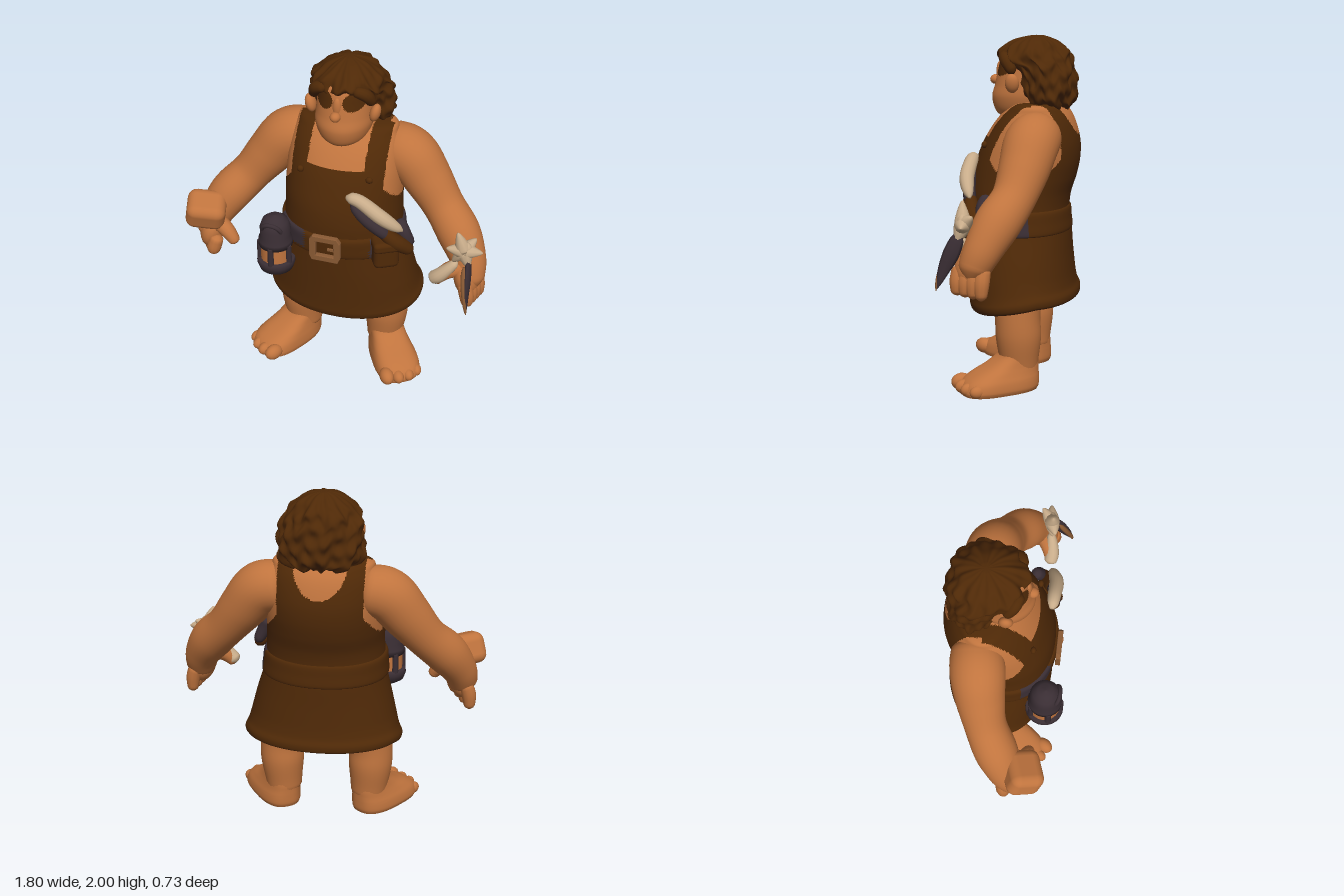
import * as THREE from 'three';
import { toCreasedNormals } from 'three/addons/utils/BufferGeometryUtils.js';
import { RoundedBoxGeometry } from 'three/addons/geometries/RoundedBoxGeometry.js';

const CX = 0.02; // body centre line

function makeMaterial(name, hex, double) {
  const m = new THREE.MeshStandardMaterial({ color: hex });
  m.name = name;
  if (double) m.side = THREE.DoubleSide;
  return m;
}

// Closed skin over rings of points; paint(centre) picks a material index per face
function skinRings(rings, paint = () => 0) {
  const n = rings[0].length, pts = rings.flat(), lists = [[], []];
  const mean = ring => ring.reduce((a, p) => a.add(p), new THREE.Vector3()).divideScalar(n);
  const first = pts.push(mean(rings[0])) - 1;
  const last = pts.push(mean(rings[rings.length - 1])) - 1;
  const c = new THREE.Vector3();
  const tri = (i, j, k) => {
    c.copy(pts[i]).add(pts[j]).add(pts[k]).divideScalar(3);
    lists[paint(c)].push(i, j, k);
  };
  const top = (rings.length - 1) * n;
  for (let j = 0; j < n; j++) {
    const k = (j + 1) % n;
    tri(first, j, k);
    for (let i = 0; i < top; i += n) {
      tri(i + j, i + n + j, i + k);
      tri(i + k, i + n + j, i + n + k);
    }
    tri(last, top + k, top + j);
  }
  const g = new THREE.BufferGeometry().setFromPoints(pts);
  g.setIndex(lists.flat());
  g.addGroup(0, lists[0].length, 0);
  g.addGroup(lists[0].length, lists[1].length, 1);
  g.computeVertexNormals();
  return g;
}

// Smooth stack of superellipses given as [y, x0, x1, z0, z1]
function loft(sections, { rows = 40, n = 48, power = 2, move, paint } = {}) {
  const cx = new THREE.CatmullRomCurve3(sections.map(s => new THREE.Vector3(s[1], s[0], s[2])), false, 'catmullrom');
  const cz = new THREE.CatmullRomCurve3(sections.map(s => new THREE.Vector3(s[3], s[0], s[4])), false, 'catmullrom');
  const bend = v => Math.sign(v) * Math.abs(v) ** (2 / power);
  const rings = [];
  for (let i = 0; i <= rows; i++) {
    const a = cx.getPoint(i / rows), b = cz.getPoint(i / rows), ring = [];
    for (let j = 0; j < n; j++) {
      const t = j / n * Math.PI * 2, u = bend(Math.cos(t)), w = bend(Math.sin(t));
      const p = new THREE.Vector3((a.x + a.z) / 2 + u * (a.z - a.x) / 2, a.y, (b.x + b.z) / 2 + w * (b.z - b.x) / 2);
      if (move) move(p, t, u, w);
      ring.push(p);
    }
    rings.push(ring);
  }
  return skinRings(rings, paint);
}

// Tapered tube through [x, y, z, radius]; rounded off at both ends
function limb(points, n = 20, rows = 28, flat = 1) {
  const path = new THREE.CatmullRomCurve3(points.map(p => new THREE.Vector3(p[0], p[1], p[2])), false, 'catmullrom');
  const size = new THREE.CatmullRomCurve3(points.map(p => new THREE.Vector3(p[3], 0, 0)), false, 'catmullrom');
  const rings = [];
  for (let i = 0; i <= rows; i++) {
    const t = i / rows, c = path.getPoint(t), T = path.getTangent(t);
    const r = size.getPoint(t).x * Math.sqrt(Math.min(1, 0.15 + 9 * Math.min(t, 1 - t)));
    const N = new THREE.Vector3(0, 0, 1).addScaledVector(T, -T.z).normalize();
    const B = new THREE.Vector3().crossVectors(N, T);
    rings.push(Array.from({ length: n }, (_, j) => {
      const a = j / n * Math.PI * 2;
      return c.clone().addScaledVector(N, r * Math.cos(a)).addScaledVector(B, r * flat * Math.sin(a));
    }));
  }
  return skinRings(rings);
}

export function createModel() {
  const root = new THREE.Group();
  root.name = 'caveDweller';
  const skin = makeMaterial('skin', 0xc0743e);
  const hide = makeMaterial('brownHide', 0x4f2907, true);
  const dark = makeMaterial('darkIron', 0x3a2e34);
  const bone = makeMaterial('bone', 0xc8ac8a);
  const brass = makeMaterial('buckleBrown', 0x8a5a34);
  const grey = makeMaterial('soleGrey', 0xa0a0a0);
  const add = (name, geometry, material, pos, parent = root) => {
    const m = new THREE.Mesh(geometry, material);
    m.name = name;
    if (pos) m.position.set(...pos);
    parent.add(m);
    return m;
  };
  const ball = (name, material, pos, scale) => {
    const m = add(name, new THREE.SphereGeometry(1, 20, 14), material, pos);
    m.scale.set(...scale);
    return m;
  };

  // Torso and tunic: hide everywhere below the arms, then bib, back and straps
  const isSkin = p => {
    const dx = Math.abs(p.x - CX);
    if (p.y < 1.2) return 0;
    const armhole = p.z > -0.12 ? 0.27 : 0.245;
    if (dx > armhole + 0.08 * Math.max(0, (1.32 - p.y) / 0.12)) return 1;
    if (p.z > -0.12) return p.y > 1.43 && dx < 0.165 ? 1 : 0;
    return (dx / 0.155) ** 2 + ((p.y - 1.64) / 0.2) ** 2 < 1 ? 1 : 0;
  };
  add('torsoAndTunic', loft([
    [0.8, 0.0, 0.04, -0.06, -0.02], [0.75, -0.3, 0.36, -0.28, 0.2], [0.51, -0.4, 0.47, -0.34, 0.23],
    [0.485, -0.425, 0.495, -0.365, 0.25], [0.52, -0.435, 0.505, -0.37, 0.265], [0.58, -0.41, 0.48, -0.35, 0.265],
    [0.75, -0.37, 0.435, -0.33, 0.268], [0.9, -0.335, 0.39, -0.318, 0.268], [1.0, -0.325, 0.375, -0.304, 0.268],
    [1.1, -0.318, 0.368, -0.314, 0.268], [1.2, -0.322, 0.362, -0.345, 0.255], [1.3, -0.32, 0.36, -0.365, 0.226],
    [1.4, -0.315, 0.355, -0.365, 0.186], [1.5, -0.3, 0.34, -0.34, 0.126], [1.57, -0.275, 0.315, -0.305, 0.066],
    [1.615, -0.245, 0.285, -0.255, 0.005], [1.63, -0.1, 0.14, -0.18, -0.05],
  ], {
    rows: 160, n: 160, power: 2.1, paint: isSkin,
    move: (p, t, u, w) => { if (p.y < 0.64) p.y -= 0.055 * Math.max(w, -0.4) * Math.min(1, (0.64 - p.y) / 0.1); },
  }), [hide, skin]);

  // Belt, dark beside the hip gear
  add('belt', loft([
    [0.89, -0.325, 0.385, -0.3, 0.255], [0.9, -0.346, 0.401, -0.323, 0.28], [0.96, -0.342, 0.395, -0.318, 0.285],
    [1.02, -0.336, 0.386, -0.312, 0.283], [1.035, -0.31, 0.36, -0.29, 0.25],
  ], {
    rows: 16, n: 96, power: 2.1,
    paint: p => ((p.x > 0.25 && p.z > -0.12) || (p.x < -0.13 && p.z > 0.1 && p.y > 0.92) ? 1 : 0),
  }), [hide, dark]);
  const outline = [[-0.075, -0.08], [0.075, -0.08], [0.088, -0.05], [0.088, 0.055], [0.07, 0.082], [-0.07, 0.082], [-0.088, 0.055], [-0.088, -0.05]];
  const frame = new THREE.Shape(outline.map(p => new THREE.Vector2(...p)));
  frame.holes.push(new THREE.Path([[-0.057, -0.05], [-0.057, 0.053], [0.057, 0.053], [0.057, -0.05]].map(p => new THREE.Vector2(...p))));
  add('buckle', new THREE.ExtrudeGeometry(frame, { depth: 0.02, bevelSize: 0.004, bevelThickness: 0.005, bevelSegments: 2 }), brass, [0.005, 0.965, 0.285]);
  add('bucklePin', new THREE.BoxGeometry(0.05, 0.014, 0.012), brass, [0.045, 0.965, 0.298]);
  for (const s of [-1, 1]) ball('strapButton', hide, [CX + s * 0.2, 1.39, 0.155], [0.02, 0.02, 0.016]);

  // Head, with dark brows and eyes painted into the face
  add('head', loft([
    [1.5, -0.04, 0.08, -0.18, 0.0], [1.535, -0.075, 0.115, -0.2, 0.085], [1.575, -0.118, 0.158, -0.2, 0.125],
    [1.65, -0.142, 0.182, -0.22, 0.142], [1.72, -0.14, 0.18, -0.22, 0.125], [1.8, -0.135, 0.175, -0.24, 0.108],
    [1.88, -0.125, 0.165, -0.24, 0.085], [1.93, -0.1, 0.14, -0.2, 0.03],
  ], {
    rows: 90, n: 120,
    paint: p => {
      const dx = Math.abs(p.x - CX) - 0.086;
      return p.z > 0 && (dx / 0.058) ** 2 + ((p.y - 1.822) / 0.052) ** 2 < 1 ? 1 : 0;
    },
  }), [skin, hide]);
  ball('nose', skin, [0.015, 1.745, 0.125], [0.03, 0.028, 0.032]);
  ball('noseBridge', skin, [0.018, 1.79, 0.098], [0.026, 0.06, 0.022]);
  for (const s of [-1, 1]) ball('ear', skin, [CX + s * 0.185, 1.735, 0.0], [0.03, 0.055, 0.04]).rotation.z = -s * 0.25;

  // Shaggy hair with a jutting fringe
  add('hair', loft([
    [1.6, -0.11, 0.17, -0.31, -0.15], [1.63, -0.195, 0.25, -0.335, -0.05], [1.69, -0.212, 0.27, -0.34, -0.025],
    [1.77, -0.205, 0.262, -0.335, -0.02], [1.83, -0.2, 0.25, -0.325, 0.015], [1.86, -0.19, 0.235, -0.315, 0.08],
    [1.9, -0.165, 0.212, -0.3, 0.095], [1.95, -0.11, 0.16, -0.255, 0.045], [1.98, -0.06, 0.11, -0.2, -0.02],
    [1.997, -0.005, 0.045, -0.15, -0.09],
  ], {
    rows: 60, n: 96,
    move: (p, t, u, w) => {
      const k = Math.min(1, (2 - p.y) / 0.1);
      const lump = 0.008 * Math.sin(7 * t + 22 * p.y) + 0.007 * Math.sin(13 * t - 50 * p.y) + 0.006 * Math.sin(70 * p.y + 5 * t);
      p.x += u * lump * k;
      p.z += w * lump * k;
      p.y += (0.012 * Math.sin(9 * t + 1) + 0.008 * Math.sin(19 * t)) * k;
    },
  }), hide);
  for (const s of [-1, 1]) {
    add('sideLock', limb([[CX + s * 0.08, 1.89, 0.07, 0.026], [CX + s * 0.14, 1.86, 0.04, 0.036], [CX + s * 0.17, 1.79, -0.005, 0.028]], 12, 14), hide);
  }

  for (const s of [-1, 1]) {
    const side = s > 0 ? 'left' : 'right';
    const mirror = pts => pts.map(([x, y, z, r]) => [CX + s * x, y, z, r]);

    // Arm and hand; the right fingers fan out under the block
    add(side + 'Arm', limb(mirror([
      [0.17, 1.46, -0.155, 0.115], [0.27, 1.445, -0.148, 0.145], [0.37, 1.41, -0.133, 0.153], [0.47, 1.29, -0.11, 0.14],
      [0.58, 1.15, -0.07, 0.12], [0.69, 1.03, 0.0, 0.125], [0.765, 0.91, 0.06, 0.105], [0.79, 0.82, 0.1, 0.09], [0.81, 0.74, 0.12, 0.07],
    ]), 28, 50), skin);
    const palm = ball(side + 'Palm', skin, [CX + s * 0.775, 0.81, 0.12], [0.07, 0.115, 0.095]);
    palm.rotation.z = s * 0.25;
    const fan = s > 0 ? 0.012 : 0.03;
    for (let i = 0; i < 4; i++) {
      const z = 0.05 + i * 0.045, x = fan * i, tip = 0.65 + x * 0.5;
      add(side + 'Finger', limb(mirror([[0.81 - x, 0.82, z, 0.04], [0.833 - x, 0.74, z + 0.008, 0.043], [0.84 - x, tip, z + 0.01, 0.03]]), 12, 14), skin);
    }
    add(side + 'Thumb', limb(mirror([[0.76, 0.88, 0.11, 0.055], [0.68, 0.87, 0.16, 0.048], [0.63, 0.83, 0.18, 0.039], [0.605, 0.79, 0.185, 0.03]]), 14, 18), skin);

    // Leg and splayed bare foot
    add(side + 'Leg', limb(mirror([
      [0.255, 0.06, -0.055, 0.1], [0.262, 0.17, -0.052, 0.113], [0.268, 0.3, -0.05, 0.13], [0.268, 0.42, -0.045, 0.13],
      [0.24, 0.6, -0.04, 0.145], [0.2, 0.86, -0.03, 0.14],
    ]), 28, 36), skin);
    const foot = new THREE.Group();
    foot.name = side + 'Foot';
    foot.position.set(CX + s * 0.268, 0, -0.05);
    foot.rotation.y = s * 0.56;
    root.add(foot);
    const flare = p => { p.x *= 1 + 0.5 * (p.z - 0.12); };
    const footGeo = loft([
      [0, -0.122, 0.135, -0.1, 0.35], [0.025, -0.128, 0.145, -0.11, 0.355], [0.07, -0.125, 0.14, -0.112, 0.335],
      [0.11, -0.118, 0.125, -0.112, 0.275], [0.15, -0.112, 0.112, -0.112, 0.19], [0.2, -0.107, 0.102, -0.105, 0.115], [0.25, -0.09, 0.09, -0.09, 0.09],
    ].map(([y, a, b, c, d]) => (s > 0 ? [y, a, b, c, d] : [y, -b, -a, c, d])), { rows: 30, n: 48, power: 2.7, move: flare, paint: p => (p.y < 0.0005 ? 1 : 0) });
    add(side + 'FootBody', toCreasedNormals(footGeo, 0.7), [skin, grey], null, foot);
    [[-0.088, 0.318, 0.048], [-0.02, 0.33, 0.04], [0.045, 0.324, 0.038], [0.105, 0.295, 0.036]].forEach(([x, z, r]) => {
      const toe = add(side + 'Toe', new THREE.SphereGeometry(1, 16, 12), skin, [s * x, r * 0.98, z], foot);
      toe.scale.set(r * 0.9, r, r * 1.25);
    });
  }

  // Rough stone block over the right hand
  const stone = add('stoneBlock', new RoundedBoxGeometry(0.23, 0.185, 0.2, 3, 0.055), skin, [-0.77, 0.985, 0.165]);
  stone.rotation.set(0.35, 0.25, -0.26);

  // Lantern on the right hip
  const lantern = new THREE.Group();
  lantern.name = 'lantern';
  lantern.position.set(-0.31, 0, 0.245);
  root.add(lantern);
  const lathe = pts => new THREE.LatheGeometry(pts.map(p => new THREE.Vector2(...p)), 24);
  add('lanternBase', lathe([[0, 0.715], [0.07, 0.72], [0.1, 0.74], [0.113, 0.78], [0.108, 0.808], [0, 0.81]]), dark, null, lantern);
  add('lanternCore', new THREE.CylinderGeometry(0.088, 0.09, 0.12, 20), skin, [0, 0.86, 0], lantern);
  add('lanternDome', lathe([[0, 0.905], [0.1, 0.905], [0.1, 0.94], [0.088, 0.97], [0.09, 1.02], [0.075, 1.065], [0.045, 1.09], [0, 1.1]]), dark, null, lantern);
  for (let i = 0; i < 5; i++) {
    const a = Math.PI / 2 + i * Math.PI * 0.4;
    add('lanternPost', new THREE.CylinderGeometry(0.017, 0.02, 0.12, 8), dark, [0.092 * Math.cos(a), 0.86, 0.092 * Math.sin(a)], lantern);
  }
  const hook = add('lanternHandle', new THREE.TorusGeometry(0.055, 0.013, 8, 20, Math.PI), dark, [0, 1.03, 0.062], lantern);
  hook.rotation.x = 0.4;

  // Sheathed bone-handled knife and pouch on the left hip
  add('knifeSheath', limb([[0.14, 1.265, 0.225, 0.028], [0.22, 1.19, 0.24, 0.036], [0.31, 1.11, 0.225, 0.036], [0.36, 1.06, 0.2, 0.03]], 14, 18), dark);
  add('sheathTip', limb([[0.3, 1.12, 0.22, 0.03], [0.38, 1.04, 0.2, 0.046], [0.43, 0.99, 0.17, 0.044], [0.475, 0.945, 0.14, 0.03]], 14, 18), hide);
  add('sheathStrap', limb([[0.39, 1.13, 0.11, 0.03], [0.42, 1.06, 0.13, 0.04], [0.465, 0.97, 0.12, 0.03]], 12, 14), dark);
  add('boneHandle', limb([[0.11, 1.305, 0.23, 0.03], [0.19, 1.295, 0.235, 0.038], [0.3, 1.225, 0.24, 0.042], [0.37, 1.17, 0.225, 0.036], [0.43, 1.12, 0.2, 0.018]], 14, 24), bone);
  const pouch = add('pouch', new RoundedBoxGeometry(0.15, 0.18, 0.11, 3, 0.035), hide, [0.335, 0.95, 0.2]);
  pouch.rotation.y = 0.5;
  const flap = add('pouchFlap', new RoundedBoxGeometry(0.16, 0.07, 0.12, 3, 0.025), hide, [0.337, 1.01, 0.202]);
  flap.rotation.y = 0.5;

  // Spiked bone dagger in the left hand
  add('daggerGrip', limb([[0.605, 0.805, 0.18, 0.038], [0.65, 0.845, 0.19, 0.042], [0.7, 0.9, 0.185, 0.034], [0.745, 0.95, 0.17, 0.022]], 14, 24), bone);
  ball('daggerHead', bone, [0.78, 1.035, 0.17], [0.052, 0.065, 0.035]);
  for (const tip of [[0.74, 1.16, 0.18], [0.885, 1.035, 0.16], [0.685, 1.055, 0.2], [0.835, 1.09, 0.11], [0.72, 0.955, 0.18], [0.82, 0.94, 0.2]]) {
    add('daggerSpike', limb([[0.78, 1.035, 0.17, 0.05], [(0.78 + tip[0]) / 2, (1.035 + tip[1]) / 2, (0.17 + tip[2]) / 2, 0.033], [...tip, 0.008]], 10, 12), bone);
  }
  add('daggerBlade', limb([[0.81, 1.0, 0.18, 0.03], [0.82, 0.9, 0.22, 0.045], [0.828, 0.8, 0.265, 0.032], [0.84, 0.7, 0.3, 0.006]], 8, 16, 0.45), dark);
  add('bladeEdge', limb([[0.795, 0.96, 0.22, 0.014], [0.805, 0.87, 0.26, 0.016], [0.825, 0.76, 0.295, 0.012], [0.84, 0.69, 0.305, 0.005]], 8, 14), brass);

  return root;
}
